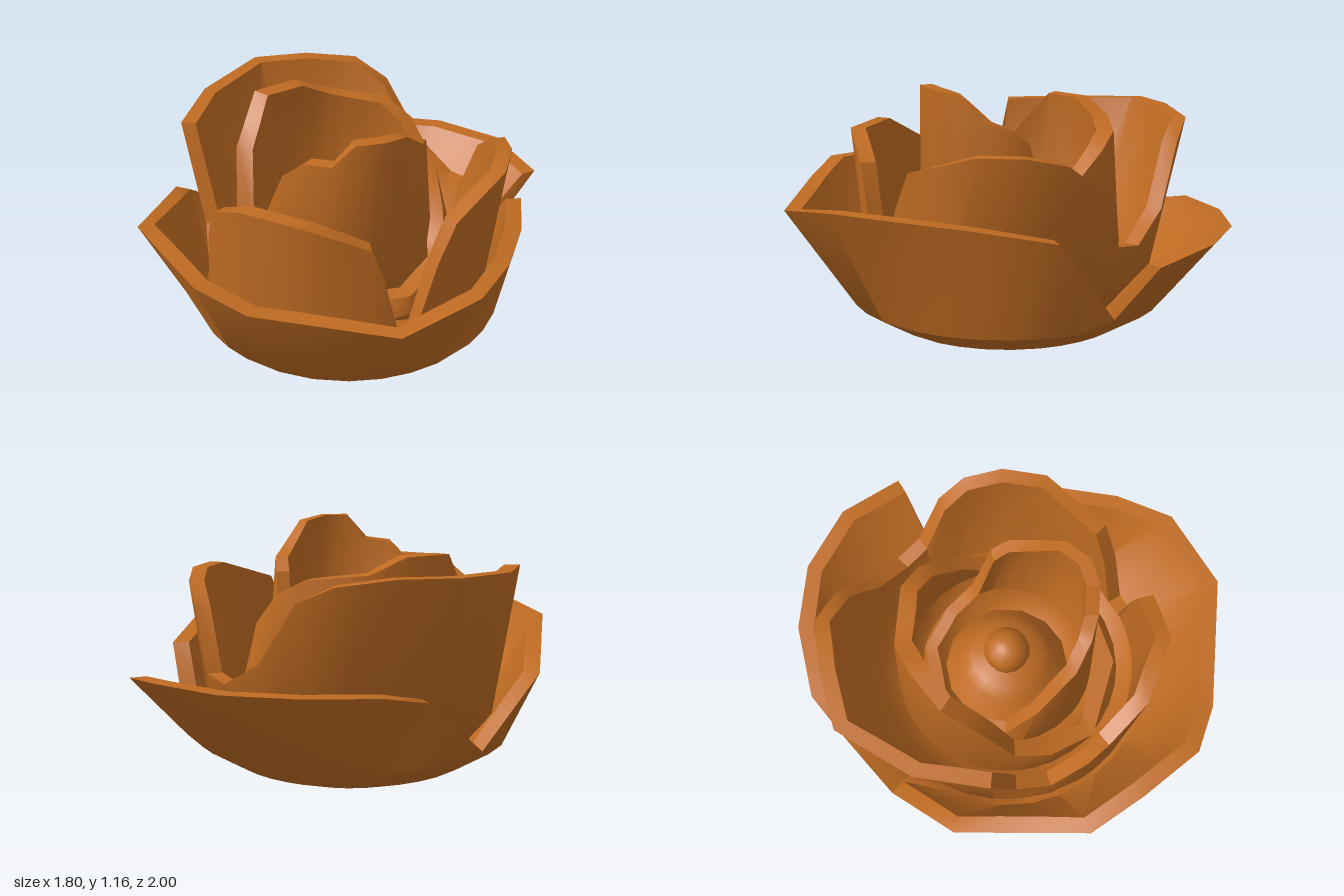
import * as THREE from 'three';
import { toCreasedNormals } from 'three/addons/utils/BufferGeometryUtils.js';

const copper = new THREE.MeshStandardMaterial({ color: 0xbf6b22 });
copper.name = 'copper';

// Splits long rim edges so that the base below them stays round
function subdivide(rim) {
  return rim.flatMap((p, i) => {
    const q = rim[(i + 1) % rim.length];
    const a = new THREE.Vector2(p[0], p[2]), b = new THREE.Vector2(q[0], q[2]);
    const turn = Math.acos(a.dot(b) / (a.length() * b.length()));
    const steps = Math.max(1, Math.round(turn / 0.2));
    return Array.from({ length: steps }, (_, k) => p.map((v, m) => v + (q[m] - v) * k / steps));
  });
}

// Thick cup of petals: a closed rim of [x, y, z] points (clockwise from above)
// lofted down to round base rings given as [radius, y] from bottom to top.
function petalCup(name, rim, base, thick) {
  const columns = subdivide(rim).map(([x, y, z]) => {
    const r = Math.hypot(x, z), c = x / r, s = z / r;
    const at = (radius, h) => [radius * c, h, radius * s];
    const outer = base.map(([br, by]) => at(br, by));
    const inner = base.map(([br, by], i) => at(br - (i ? thick * 0.75 : 0.02), by + 0.05)).reverse();
    return [...outer, [x, y, z], at(r - thick, y), ...inner];
  });
  const rows = columns[0].length, n = columns.length;
  const positions = columns.flat(2), index = [];
  for (let i = 0; i < n; i++) {
    for (let j = 0; j < rows; j++) {
      const k = (i + 1) % n, u = (j + 1) % rows;
      const a = i * rows + j, b = i * rows + u, c = k * rows + j, d = k * rows + u;
      index.push(a, b, c, b, d, c);
    }
  }
  const g = new THREE.BufferGeometry();
  g.setAttribute('position', new THREE.Float32BufferAttribute(positions, 3));
  g.setIndex(index);
  return part(name, toCreasedNormals(g, 0.6));
}

function part(name, geometry) {
  const mesh = new THREE.Mesh(geometry, copper);
  mesh.name = name;
  return mesh;
}

export function createModel() {
  const model = new THREE.Group();
  model.name = 'rose';

  // Outer bowl with two notches where its petals meet
  model.add(petalCup('outerPetals', [
    [0.69, 0.23, -0.42], [0.82, 0.60, -0.17], [0.81, 0.66, 0.20], [0.75, 0.69, 0.52],
    [0.64, 0.70, 0.78], [0.33, 0.64, 1.0], [-0.30, 0.66, 0.95],
    [-0.53, 0.72, 0.87], [-0.74, 0.72, 0.62], [-0.90, 0.68, 0.39],
    [-0.88, 0.52, -0.22], [-0.64, 0.24, -0.54], [-0.43, 0.50, -0.76], [-0.26, 0.55, -0.91],
    [0.08, 0.56, -1.0], [0.40, 0.56, -0.98], [0.70, 0.56, -0.83], [0.90, 0.52, -0.57],
  ], [[0.40, 0], [0.57, 0.06], [0.74, 0.165]], 0.075));

  // Second cup: left, front and back petals
  model.add(petalCup('middlePetals', [
    [0.75, 0.94, -0.04], [0.72, 0.94, 0.17], [0.52, 0.84, 0.45], [0.45, 0.66, 0.51],
    [0.37, 0.35, 0.56], [0.29, 0.37, 0.61], [0.23, 0.67, 0.65], [0.18, 0.82, 0.67],
    [-0.07, 0.94, 0.73], [-0.38, 0.94, 0.62], [-0.54, 0.83, 0.46], [-0.58, 0.65, 0.38],
    [-0.63, 0.42, 0.22], [-0.67, 0.50, 0.06], [-0.78, 0.98, -0.05], [-0.74, 0.99, -0.38],
    [-0.55, 1.01, -0.72], [-0.30, 1.01, -0.80], [-0.05, 0.98, -0.85], [0.12, 0.90, -0.78],
    [0.30, 0.62, -0.68], [0.48, 0.50, -0.55], [0.58, 0.52, -0.45], [0.66, 0.80, -0.34],
    [0.72, 0.90, -0.22],
  ], [[0.40, 0.09], [0.56, 0.15], [0.67, 0.28]], 0.07));

  // Third cup: high at the back, low at the front
  model.add(petalCup('innerPetals', [
    [0.45, 0.60, -0.05], [0.47, 0.45, 0.18], [0.33, 0.40, 0.40], [0, 0.40, 0.52],
    [-0.37, 0.40, 0.42], [-0.49, 0.45, 0.22], [-0.52, 0.52, 0.05], [-0.53, 0.85, -0.07],
    [-0.47, 1.05, -0.27], [-0.30, 1.05, -0.41], [-0.15, 0.98, -0.49], [0.14, 0.95, -0.48],
    [0.27, 0.88, -0.41], [0.40, 0.72, -0.25],
  ], [[0.38, 0.16], [0.49, 0.21], [0.54, 0.32]], 0.08));

  // Tall innermost cup around the bud, open at the back
  model.add(petalCup('tallPetals', [
    [0.36, 0.99, 0], [0.35, 1.02, 0.10], [0.29, 1.14, 0.26], [0.20, 1.16, 0.36],
    [0.08, 1.16, 0.40], [-0.02, 1.05, 0.40], [-0.14, 1.04, 0.37], [-0.25, 0.94, 0.31],
    [-0.35, 0.66, 0.15], [-0.39, 0.45, 0], [-0.36, 0.42, -0.17], [-0.22, 0.42, -0.34],
    [0.05, 0.42, -0.40], [0.24, 0.45, -0.30], [0.31, 0.60, -0.17], [0.34, 0.93, -0.08],
  ], [[0.28, 0.22], [0.36, 0.27], [0.41, 0.37]], 0.06));

  // Bud in the middle
  const bud = [[0, 0.26], [0.2, 0.26], [0.3, 0.31], [0.22, 0.42], [0.17, 0.47], [0, 0.51]]
    .map(([r, y]) => new THREE.Vector2(r, y));
  model.add(part('bud', toCreasedNormals(new THREE.LatheGeometry(bud, 14), 0.6)));
  const tip = part('budTip', new THREE.SphereGeometry(0.11, 14, 8));
  tip.position.y = 0.53;
  model.add(tip);

  return model;
}
